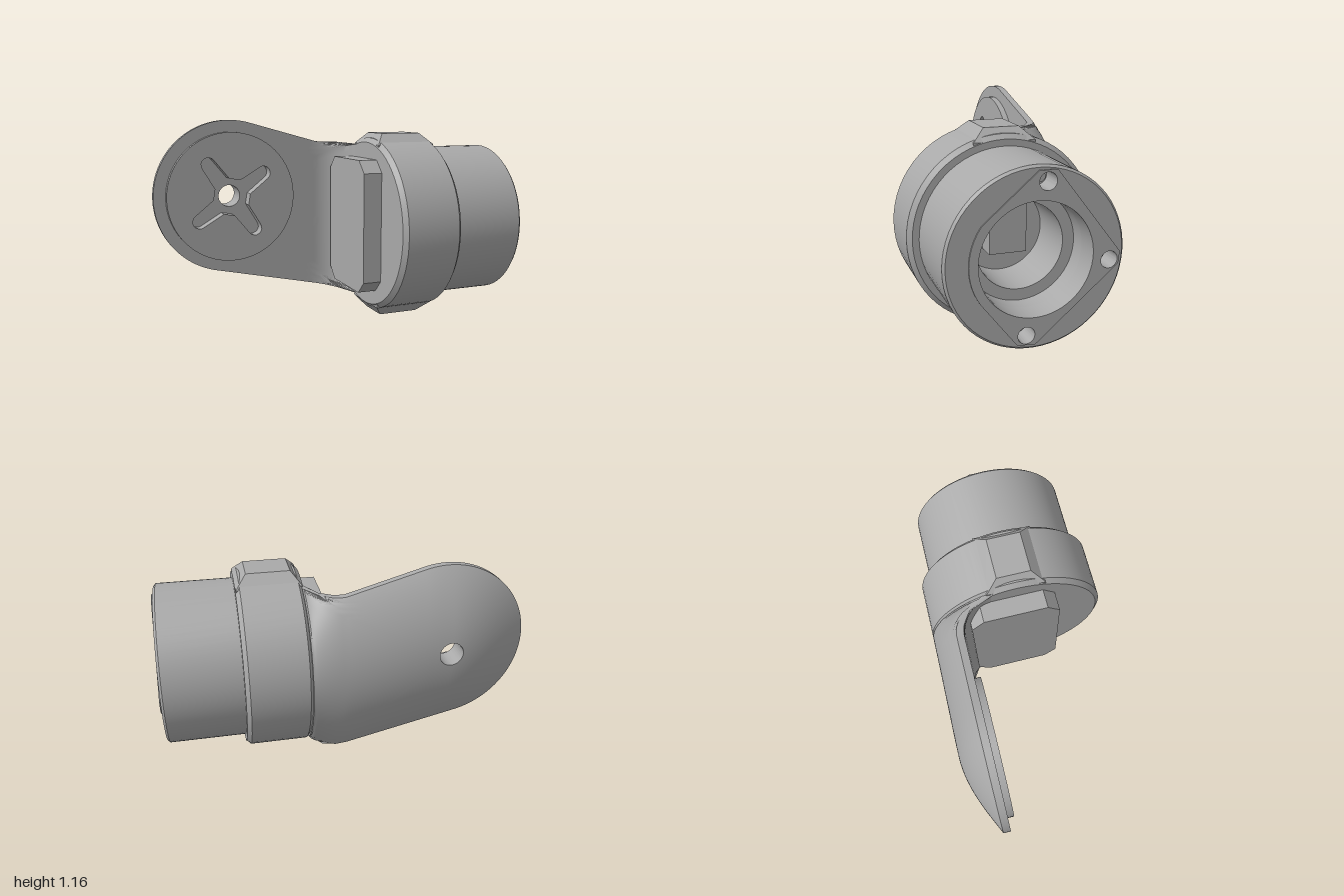
import * as THREE from 'three';
import { toCreasedNormals } from 'three/addons/utils/BufferGeometryUtils.js';
import { ConvexGeometry } from 'three/addons/geometries/ConvexGeometry.js';

const AXIS_Y = 0.547;               // height of the barrel axis
const HX = -0.545, HY = 0.705;      // centre of the arm's round end
const HOLE = 0.065, END_R = 0.455;

// Arm outline: a round end with two tapering edges towards the collar
const circleH = x => Math.sqrt(Math.max(0, END_R ** 2 - (x - HX) ** 2));
const yTop = x => x < -0.422 ? HY + circleH(x) : Math.max(1.143 - 0.28 * (x + 0.422), 1.02);
const yBottom = x => x < -0.645 ? HY - circleH(x) : 0.261 - 0.22 * (x + 0.645);

// Flat inner face with a fillet into the collar
function frontZ(x) {
  if (x < -0.01) return -0.33;
  const dx = Math.min(x + 0.01, 0.2);
  return -0.13 - Math.sqrt(Math.max(0, 0.04 - dx * dx));
}

// Domed outer face: a circular arc across the arm at each x
function backZ(x, y) {
  const c = (yTop(x) + yBottom(x)) / 2, h = (yTop(x) - yBottom(x)) / 2;
  const edge = frontZ(x) - 0.04;
  const ridge = -0.37 - 0.14 * Math.sin(Math.PI / 2 * Math.min(1, Math.max(0, (x + 1) / 0.45)));
  const d = Math.max(edge - ridge, 1e-4);
  const R = (h * h + d * d) / (2 * d);
  const dy = Math.min(Math.abs(y - c), h);
  return ridge + R - Math.sqrt(Math.max(0, R * R - dy * dy));
}

// Distance from the hole centre to the outline in direction a
function reach(a) {
  let lo = 0.3, hi = 1.2;
  for (let i = 0; i < 30; i++) {
    const m = (lo + hi) / 2;
    const x = HX + m * Math.cos(a), y = HY + m * Math.sin(a);
    const inside = x > HX - END_R && x < 0.2 && y < yTop(x) && y > yBottom(x);
    if (inside) lo = m; else hi = m;
  }
  return lo;
}

// Closed arm skin as a polar grid around the through hole
function armGeometry() {
  const N = 144, M = 40, pos = [], idx = [];
  const rings = 2 * M + 4;
  for (let i = 0; i < N; i++) {
    const a = i / N * Math.PI * 2, R = reach(a);
    const put = (r, zAt) => {
      const x = HX + r * Math.cos(a), y = HY + r * Math.sin(a);
      pos.push(x, y, zAt(x, y));
    };
    put(0.36, () => -0.37);
    put(HOLE, () => -0.37);
    for (let j = 0; j <= M; j++) put(HOLE + (R - HOLE) * Math.sin(j / M * Math.PI / 2), backZ);
    for (let j = 0; j <= M; j++) put(0.36 + (R - 0.36) * Math.cos(j / M * Math.PI / 2), frontZ);
  }
  for (let i = 0; i < N; i++) {
    for (let j = 0; j < rings - 1; j++) {
      const a = i * rings + j, b = ((i + 1) % N) * rings + j;
      idx.push(a, b, a + 1, b, b + 1, a + 1);
    }
  }
  const g = new THREE.BufferGeometry();
  g.setAttribute('position', new THREE.Float32BufferAttribute(pos, 3));
  g.setIndex(idx);
  return toCreasedNormals(g, 0.6);
}

const circlePath = (x, y, r) => new THREE.Path().absarc(x, y, r, 0, Math.PI * 2, true);
const polygon = pts => new THREE.Shape(pts.map(p => new THREE.Vector2(...p)));
const extrude = (shape, depth) => toCreasedNormals(
  new THREE.ExtrudeGeometry(shape, { depth, bevelEnabled: false, curveSegments: 32 }), 0.5);
// Extrude along +x; shape x runs towards -z
const extrudeX = (shape, x0, x1) =>
  extrude(shape, x1 - x0).rotateY(Math.PI / 2).translate(x0, AXIS_Y, 0);

// Four-armed slot with rounded ends
function crossPath() {
  const pts = [];
  for (let k = 0; k < 4; k++) {
    const a = 0.61 + k * Math.PI / 2, c = Math.cos(a), s = Math.sin(a);
    const add = (u, v) => pts.push(new THREE.Vector2(HX + u * c - v * s, HY + u * s + v * c));
    add(0.1, -0.052);
    for (let i = 0; i <= 8; i++) {
      const t = -Math.PI / 2 + i / 8 * Math.PI;
      add(0.24 + 0.042 * Math.cos(t), 0.042 * Math.sin(t));
    }
    add(0.1, 0.052);
  }
  return new THREE.Path(pts.reverse());
}

export function createModel() {
  const model = new THREE.Group();
  const grey = new THREE.MeshStandardMaterial({ color: 0xa9a9a9 });
  grey.name = 'plain grey';
  const add = (name, geometry) => {
    const mesh = new THREE.Mesh(geometry, grey);
    mesh.name = name;
    model.add(mesh);
    return mesh;
  };

  add('arm', armGeometry());

  // Raised disc with the cross slot
  const disc = new THREE.Shape().absarc(HX, HY, 0.385, 0, Math.PI * 2, false);
  disc.holes.push(crossPath());
  add('slottedDisc', extrude(disc, 0.08).translate(0, 0, -0.375));

  // Collar and barrel in one turned profile: [radius, x]
  const profile = [[0, 0.19], [0.485, 0.19], [0.51, 0.215], [0.51, 0.53], [0.485, 0.553],
    [0.45, 0.553], [0.45, 0.972], [0.438, 0.985], [0.438, 0.87], [0.285, 0.87],
    [0.285, 0.78], [0.225, 0.78], [0.225, 0.5], [0, 0.5]];
  const lathe = new THREE.LatheGeometry(profile.map(p => new THREE.Vector2(...p)), 64);
  add('collarAndBarrel', toCreasedNormals(lathe.rotateZ(-Math.PI / 2).translate(0, AXIS_Y, 0), 0.5));

  // Barrel face with bore and screw holes
  const screws = [[0.045, 0.372], [0.37, -0.037], [-0.045, -0.372]];
  const drill = shape => {
    shape.holes.push(circlePath(0, 0, 0.285), ...screws.map(([u, v]) => circlePath(u, v, 0.043)));
    return shape;
  };
  const face = new THREE.Shape().absarc(0, 0, 0.438, 0, Math.PI * 2, false);
  add('barrelFace', extrudeX(drill(face), 0.865, 0.985));

  // Thin three-lobed flange on the face
  const lobes = [[0, -0.425], [0.42, -0.06], [0.425, 0], [0.09, 0.425], [0, 0.425]];
  for (let i = 0; i <= 12; i++) {
    const a = (145 + i / 12 * 70) * Math.PI / 180;
    lobes.push([0.33 * Math.cos(a), 0.33 * Math.sin(a)]);
  }
  lobes.push([-0.09, -0.418]);
  add('faceFlange', extrudeX(drill(polygon(lobes)), 0.984, 0.992));

  // Screw cores deep in the holes
  for (const [u, v] of screws) {
    add('screwCore', new THREE.CylinderGeometry(0.027, 0.027, 0.03, 20)
      .rotateZ(Math.PI / 2).translate(0.88, AXIS_Y + v, -u));
  }

  // Block inside the bore
  add('boreBlock', new THREE.BoxGeometry(0.12, 0.32, 0.2).translate(0.55, 0.61, 0));

  // Chamfered block on the inner side of the collar
  const block = polygon([[-0.22, -0.31], [-0.15, -0.38], [0.21, -0.38], [0.28, -0.31],
    [0.28, 0.32], [0.21, 0.39], [-0.15, 0.39], [-0.22, 0.32]]);
  add('innerBlock', extrudeX(block, 0.08, 0.2));

  // Lugs on the top and bottom of the collar
  for (const side of [1, -1]) {
    const pts = [];
    for (const z of [-1, 1]) {
      for (const [x, y, w] of [[0.195, 0.4, 0.165], [0.55, 0.4, 0.165], [0.195, 0.478, 0.165],
        [0.55, 0.478, 0.165], [0.25, 0.542, 0.095], [0.49, 0.542, 0.095]]) {
        pts.push(new THREE.Vector3(x, 0.5425 + side * y, z * w));
      }
    }
    add(side > 0 ? 'topLug' : 'bottomLug', new ConvexGeometry(pts));
  }
  return model;
}
